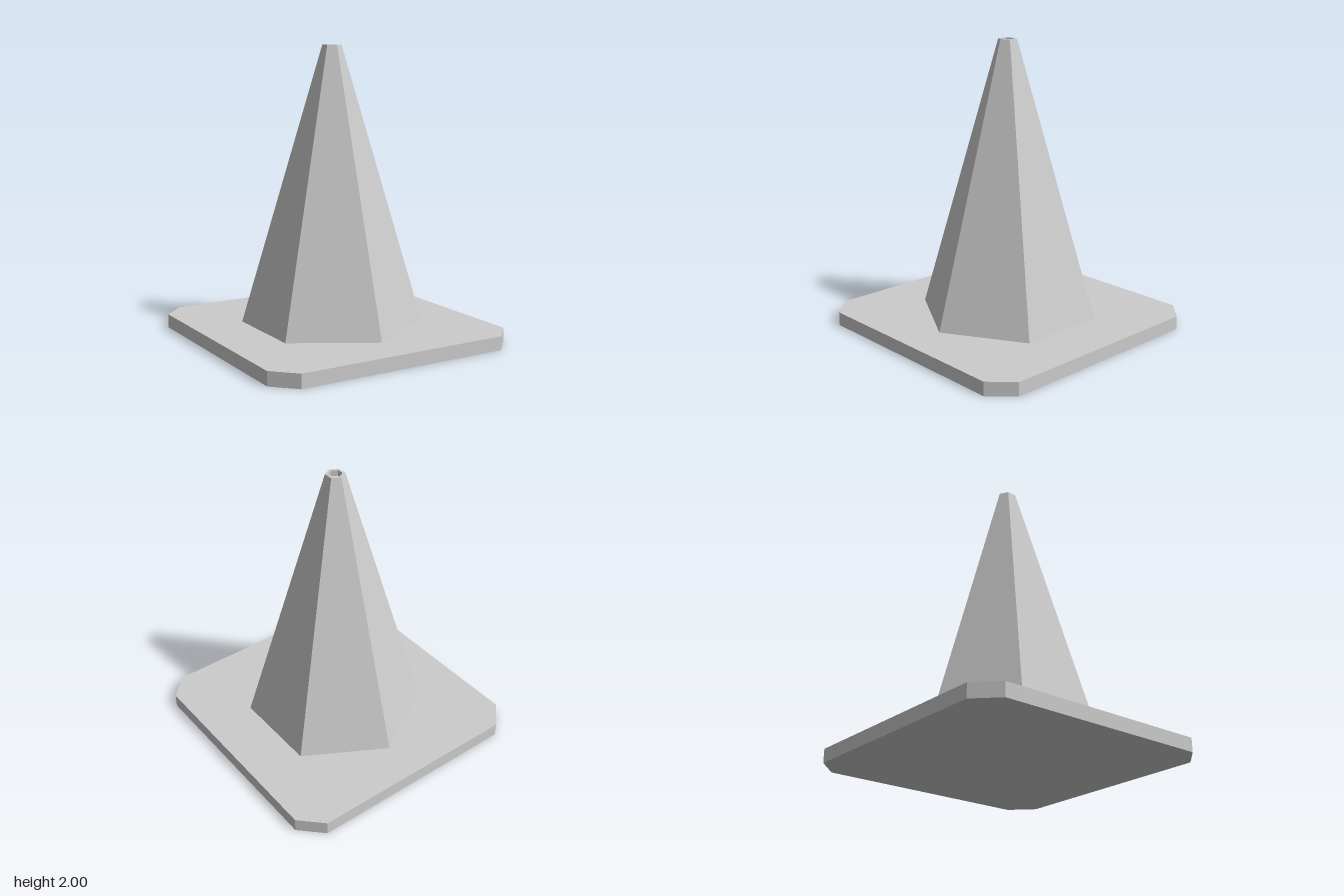
import * as THREE from 'three';

export function createModel() {
  const model = new THREE.Group();
  const grey = new THREE.MeshStandardMaterial({ color: 0xcccccc, flatShading: true });
  grey.name = 'plain grey';

  const half = 0.907, cut = 0.757, baseHeight = 0.095;

  // Square base plate with clipped corners
  const outline = new THREE.Shape([
    [half, -cut], [half, cut], [cut, half], [-cut, half],
    [-half, cut], [-half, -cut], [-cut, -half], [cut, -half],
  ].map(([x, y]) => new THREE.Vector2(x, y)));
  const plate = new THREE.ExtrudeGeometry(outline, { depth: baseHeight, bevelEnabled: false });
  plate.rotateX(-Math.PI / 2);
  const base = new THREE.Mesh(plate, grey);
  base.name = 'basePlate';
  model.add(base);

  // Six-sided cone: outer wall, flat rim and the small recess in the tip
  const profile = [
    [0.624, baseHeight], [0.065, 2], [0.046, 2], [0.046, 1.96], [0, 1.96],
  ].map(([r, y]) => new THREE.Vector2(r, y));
  const cone = new THREE.Mesh(new THREE.LatheGeometry(profile, 6), grey);
  cone.name = 'cone';
  model.add(cone);

  return model;
}
